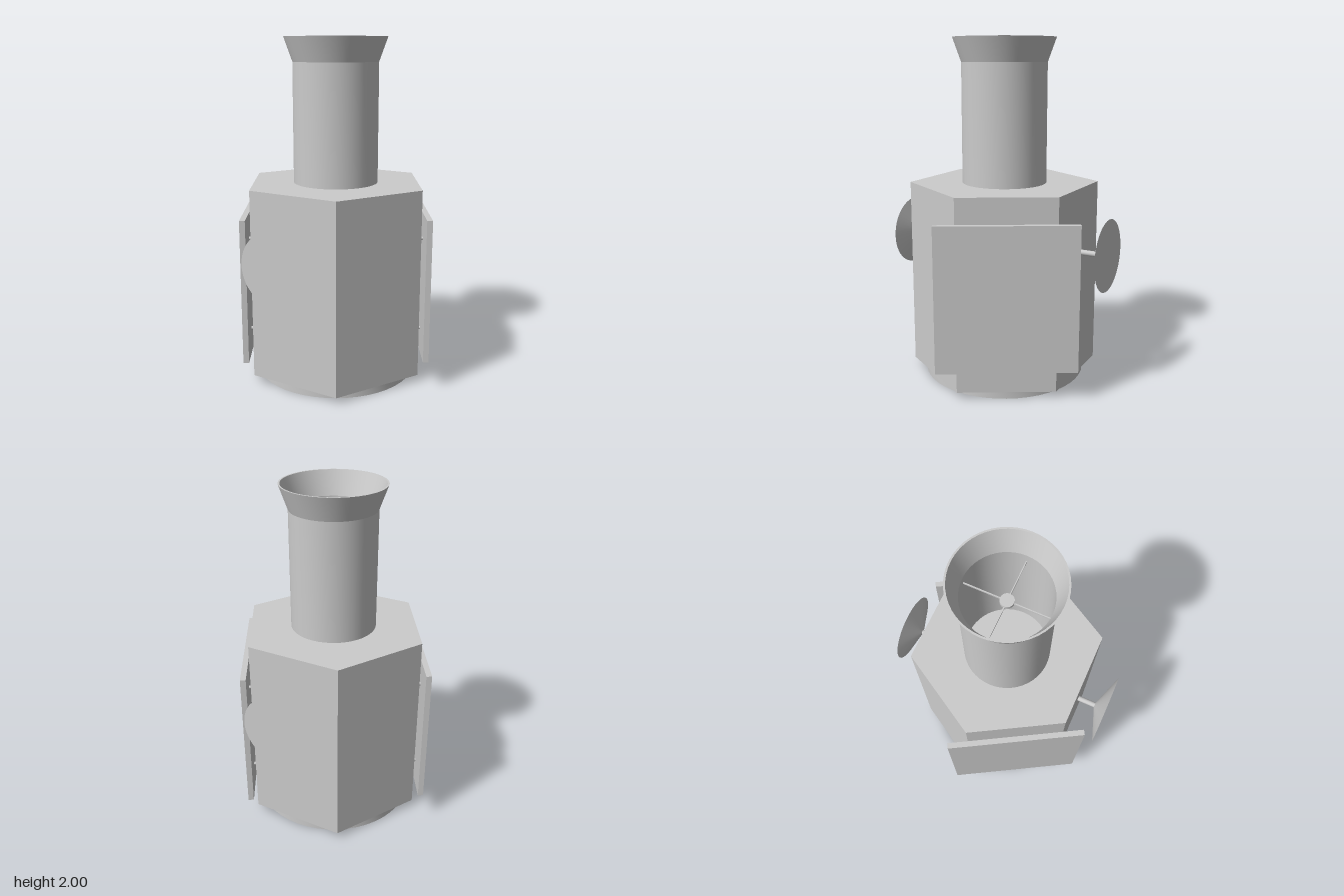
import * as THREE from 'three';
import { toCreasedNormals } from 'three/addons/utils/BufferGeometryUtils.js';

const smooth = new THREE.MeshStandardMaterial({ color: 0xcccccc });
const flat = new THREE.MeshStandardMaterial({ color: 0xcccccc, flatShading: true });

function add(parent, name, geometry, x = 0, y = 0, z = 0, material = smooth) {
  const mesh = new THREE.Mesh(geometry, material);
  mesh.name = name;
  mesh.position.set(x, y, z);
  parent.add(mesh);
  return mesh;
}

// Closed [radius, height] profile turned about y, with sharp edges kept
function turned(profile, segments = 48) {
  const points = profile.map(([r, y]) => new THREE.Vector2(r, y));
  return toCreasedNormals(new THREE.LatheGeometry(points, segments), 0.3);
}

// Cone-shaped antenna on a short stem, pointing along +z
function createDish() {
  const dish = new THREE.Group();
  dish.name = 'dishAntenna';
  add(dish, 'dishStem', new THREE.CylinderGeometry(0.016, 0.016, 0.12, 16), 0, 0.79, 0.54).rotation.x = Math.PI / 2;
  add(dish, 'dishCone', new THREE.CylinderGeometry(0.21, 0.016, 0.07, 48), 0, 0.79, 0.63).rotation.x = Math.PI / 2;
  return dish;
}

// Flat panel held off the body by four pins, facing +z
function createPanel() {
  const panel = new THREE.Group();
  panel.name = 'solarPanel';
  add(panel, 'panelPlate', new THREE.BoxGeometry(0.793, 0.84, 0.032), 0, 0.595, 0.515);
  for (const x of [-0.228, 0.228]) {
    for (const y of [0.32, 0.87]) {
      add(panel, 'panelPin', new THREE.CylinderGeometry(0.01, 0.01, 0.03, 12), x, y, 0.49).rotation.x = Math.PI / 2;
    }
  }
  return panel;
}

export function createModel() {
  const model = new THREE.Group();
  model.name = 'spaceTelescope';

  // Hexagonal body with corners on the x axis
  add(model, 'body', new THREE.CylinderGeometry(0.56, 0.56, 1.12, 6, 1, false, Math.PI / 6), 0, 0.6, 0, flat);

  // Docking ring under the body
  add(model, 'baseRing', turned([[0.395, 0], [0.485, 0], [0.485, 0.04], [0.395, 0.04], [0.395, 0]]));

  // Hollow tube with a flared mouth
  add(model, 'tube', turned([
    [0.24, 1.16], [0.25, 1.16], [0.25, 1.86], [0.3, 2], [0.29, 2], [0.24, 1.86], [0.24, 1.16],
  ]));

  // Small central mirror carried by crossed vanes inside the tube
  add(model, 'mirrorHub', new THREE.CylinderGeometry(0.038, 0.038, 0.02, 24), 0, 1.8, 0);
  add(model, 'vaneX', new THREE.BoxGeometry(0.485, 0.01, 0.006), 0, 1.8, 0);
  add(model, 'vaneZ', new THREE.BoxGeometry(0.006, 0.01, 0.485), 0, 1.8, 0);

  // Dishes and panels repeat on opposite sides
  for (const turn of [0, Math.PI]) {
    const dish = createDish();
    dish.rotation.y = turn;
    const panel = createPanel();
    panel.rotation.y = turn - Math.PI / 3;
    model.add(dish, panel);
  }
  return model;
}
